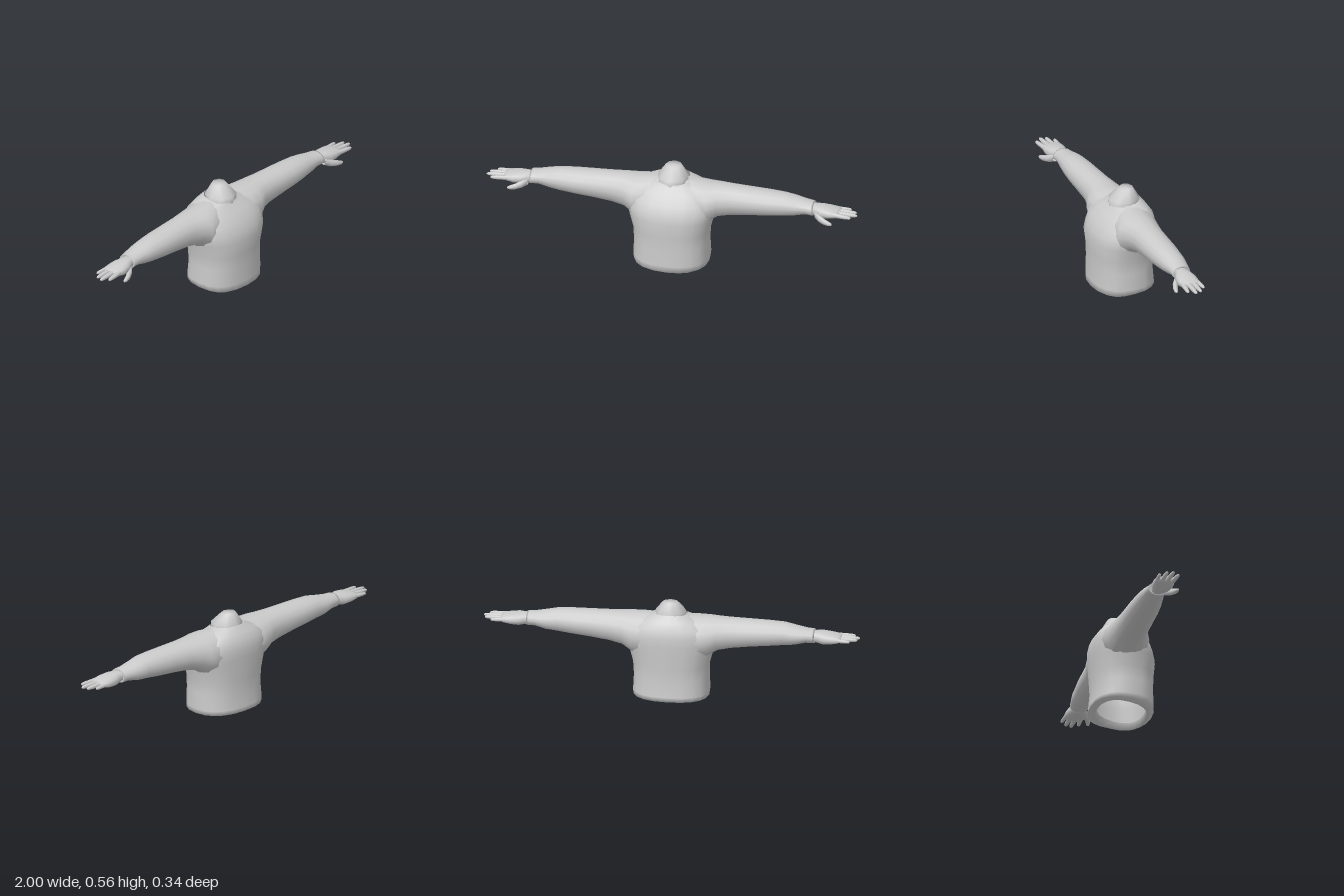
import * as THREE from 'three';

const material = new THREE.MeshStandardMaterial({ color: 0xcccccc, side: THREE.DoubleSide });

// Skin a list of equal-length closed rings; optionally close the last ring.
function loft(rings, closeEnd) {
  const n = rings[0].length, pos = [], idx = [];
  rings.forEach(r => r.forEach(p => pos.push(...p)));
  for (let j = 0; j < rings.length - 1; j++) {
    for (let i = 0; i < n; i++) {
      const a = j * n + i, b = j * n + (i + 1) % n;
      idx.push(a, a + n, b, b, a + n, b + n);
    }
  }
  if (closeEnd) {
    const last = rings[rings.length - 1], s = (rings.length - 1) * n, c = pos.length / 3;
    pos.push(...[0, 1, 2].map(k => last.reduce((t, p) => t + p[k], 0) / n));
    for (let i = 0; i < n; i++) idx.push(s + i, c, s + (i + 1) % n);
  }
  const g = new THREE.BufferGeometry();
  g.setAttribute('position', new THREE.Float32BufferAttribute(pos, 3));
  g.setIndex(idx);
  g.computeVertexNormals();
  return g;
}

const bulge = (t, e) => Math.sign(t) * Math.pow(Math.abs(t), 2 / e);

// Horizontal ring: height, half width, back z, front z, rise towards the front.
function bodyRing([y, w, back, front, tilt = 0], sides, e) {
  return Array.from({ length: sides }, (_, i) => {
    const a = i / sides * Math.PI * 2, c = bulge(Math.cos(a), e), s = bulge(Math.sin(a), e);
    return [w * c, y + tilt * s, (front + back) / 2 + (front - back) / 2 * s];
  });
}

// Ring across a limb: x, back z, front z, bottom y, top y.
function limbRing([x, back, front, low, high], sides, e) {
  return Array.from({ length: sides }, (_, i) => {
    const a = i / sides * Math.PI * 2, c = bulge(Math.cos(a), e), s = bulge(Math.sin(a), e);
    return [x, (low + high) / 2 + (high - low) / 2 * s, (front + back) / 2 + (front - back) / 2 * c];
  });
}

// Mirror across x = 0 and restore the winding.
function mirrored(geometry) {
  const g = geometry.clone().scale(-1, 1, 1), ix = g.index;
  for (let i = 0; i < ix.count; i += 3) {
    const t = ix.getX(i);
    ix.setX(i, ix.getX(i + 1));
    ix.setX(i + 1, t);
  }
  g.computeVertexNormals();
  return g;
}

export function createModel() {
  const model = new THREE.Group();
  model.name = 'sweaterTorso';

  function add(name, geometry) {
    const mesh = new THREE.Mesh(geometry, material);
    mesh.name = name;
    model.add(mesh);
  }
  function addPair(name, rows, sides, e) {
    const g = loft(rows.map(r => limbRing(r, sides, e)), true);
    add('left' + name, g);
    add('right' + name, mirrored(g));
  }

  // Sweater body, open below, with the hem turned inwards
  const body = [
    [0.06, 0.165, -0.12, 0.125, -0.02],
    [0.02, 0.175, -0.13, 0.13, -0.019],
    [0.033, 0.2, -0.168, 0.166, -0.009],
    [0.06, 0.204, -0.164, 0.164, -0.005],
    [0.15, 0.2, -0.156, 0.162],
    [0.22, 0.204, -0.16, 0.163],
    [0.3, 0.225, -0.163, 0.169],
    [0.345, 0.235, -0.166, 0.155],
    [0.395, 0.235, -0.166, 0.135],
    [0.44, 0.21, -0.156, 0.094],
    [0.473, 0.15, -0.133, 0.058],
    [0.495, 0.088, -0.103, 0.055, -0.012],
  ];
  add('sweaterBody', loft(body.map(r => bodyRing(r, 20, 2.4)), false));

  // Neck stump, cut on a slant at the front
  const neck = [
    [0.475, 0.083, -0.1, 0.06, -0.01],
    [0.507, 0.083, -0.104, 0.061, -0.002],
    [0.562, 0.042, -0.072, 0.002, -0.002],
  ];
  add('neck', loft(neck.map(r => bodyRing(r, 8, 2)), true));

  // Sleeves, tapering to a tucked-in cuff
  addPair('Sleeve', [
    [0.07, -0.12, 0.06, 0.3, 0.494],
    [0.14, -0.145, 0.1, 0.26, 0.491],
    [0.2, -0.136, 0.1, 0.27, 0.488],
    [0.25, -0.12, 0.078, 0.305, 0.487],
    [0.32, -0.107, 0.066, 0.32, 0.485],
    [0.42, -0.1, 0.064, 0.333, 0.482],
    [0.52, -0.094, 0.062, 0.343, 0.479],
    [0.6, -0.085, 0.056, 0.352, 0.475],
    [0.66, -0.082, 0.047, 0.36, 0.463],
    [0.72, -0.07, 0.038, 0.375, 0.45],
    [0.755, -0.064, 0.038, 0.373, 0.447],
    [0.765, -0.062, 0.036, 0.374, 0.445],
    [0.755, -0.05, 0.027, 0.38, 0.437],
  ], 14, 2.1);

  // Palm
  addPair('Palm', [
    [0.74, -0.045, 0.025, 0.383, 0.435],
    [0.775, -0.047, 0.03, 0.376, 0.437],
    [0.81, -0.06, 0.046, 0.37, 0.436],
    [0.85, -0.064, 0.05, 0.374, 0.43],
    [0.89, -0.063, 0.046, 0.384, 0.421],
    [0.905, -0.055, 0.038, 0.39, 0.415],
  ], 12, 2.5);

  // Thumb, angled forwards and down
  addPair('Thumb', [
    [0.775, 0.0, 0.035, 0.37, 0.415],
    [0.805, 0.022, 0.058, 0.357, 0.4],
    [0.835, 0.042, 0.07, 0.353, 0.387],
    [0.86, 0.052, 0.074, 0.353, 0.378],
    [0.875, 0.059, 0.071, 0.358, 0.37],
  ], 8, 2);

  // Four fingers: root z, tip z, tip x, half thickness
  const fingers = [
    ['IndexFinger', 0.032, 0.042, 0.972, 0.0125],
    ['MiddleFinger', 0.004, 0.008, 1.0, 0.013],
    ['RingFinger', -0.023, -0.023, 0.99, 0.0125],
    ['LittleFinger', -0.048, -0.055, 0.955, 0.011],
  ];
  for (const [name, z0, z1, tip, r] of fingers) {
    const stations = [[0, 1.15], [0.35, 1], [0.7, 0.9], [0.92, 0.7], [1, 0.3]];
    addPair(name, stations.map(([t, k]) => {
      const z = z0 + (z1 - z0) * t, y = 0.404 - 0.002 * t;
      return [0.875 + (tip - 0.875) * t, z - r * k, z + r * k, y - r * k, y + r * k];
    }), 8, 2);
  }

  return model;
}
